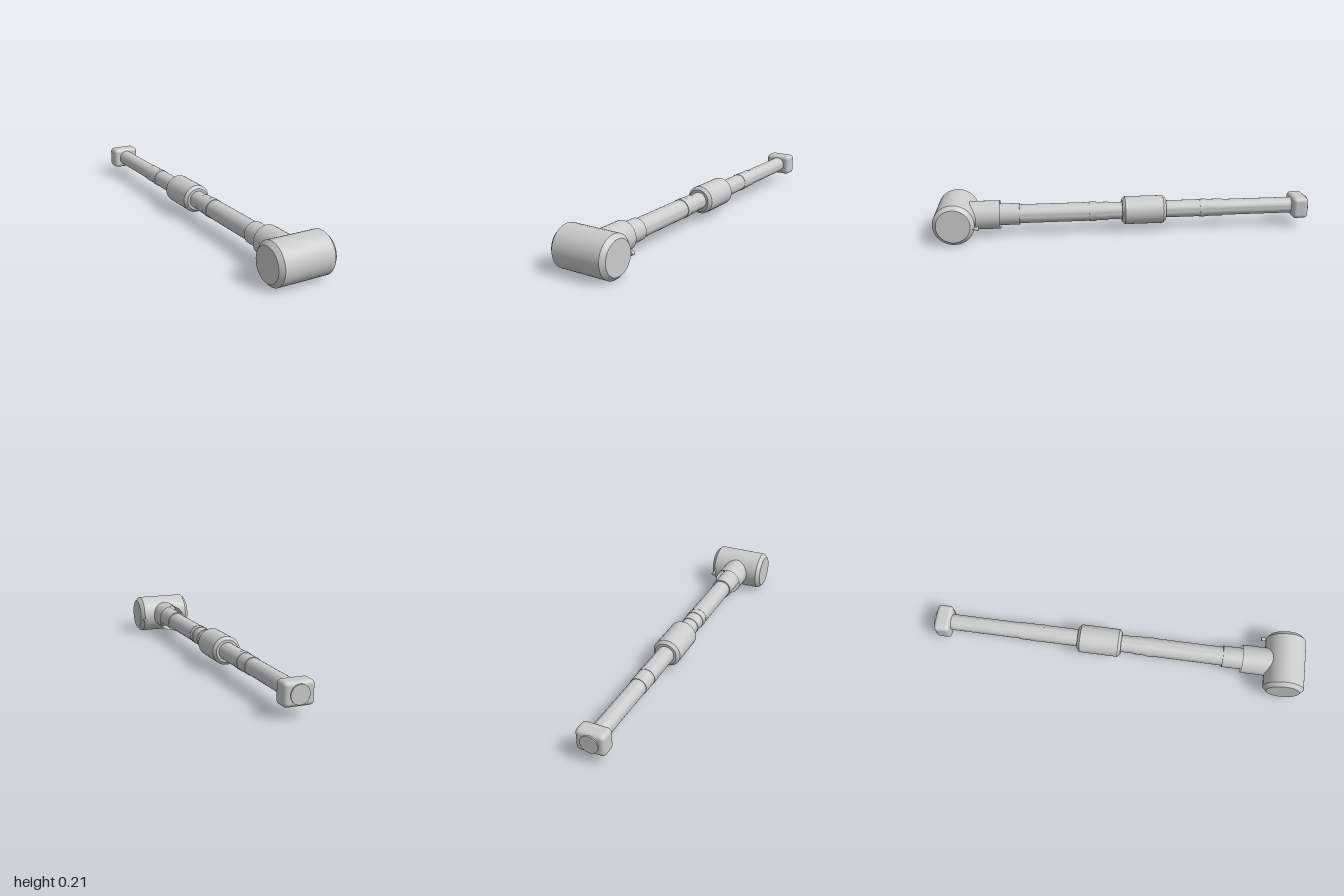
import * as THREE from 'three';
import { toCreasedNormals } from 'three/addons/utils/BufferGeometryUtils.js';
import { RoundedBoxGeometry } from 'three/addons/geometries/RoundedBoxGeometry.js';

const AXIS_Y = 0.11;

// Turned part from [radius, position] pairs, with crisp edges
function turned(profile, segments = 32) {
  const points = profile.map(([r, t]) => new THREE.Vector2(r, t));
  return toCreasedNormals(new THREE.LatheGeometry(points, segments), 0.5);
}

export function createModel() {
  const group = new THREE.Group();
  const grey = new THREE.MeshStandardMaterial({ color: 0xcccccc });
  const open = new THREE.MeshStandardMaterial({ color: 0xcccccc, side: THREE.DoubleSide });

  function add(name, geometry, x = 0, y = AXIS_Y, z = 0, material = grey) {
    const mesh = new THREE.Mesh(geometry, material);
    mesh.name = name;
    mesh.position.set(x, y, z);
    group.add(mesh);
  }
  const alongZ = (profile, segments) => turned(profile, segments).rotateX(Math.PI / 2);

  // Striking head: chamfered barrel lying along x
  const head = turned([[0, -0.155], [0.087, -0.155], [0.107, -0.134],
    [0.107, 0.134], [0.087, 0.155], [0, 0.155]], 40).rotateZ(-Math.PI / 2);
  add('head', head, 0, 0.107, 0.893);

  // Open socket that joins the handle to the head
  add('socket', alongZ([[0.075, 0.662], [0.075, 0.87]]), 0, AXIS_Y, 0, open);
  add('collar', alongZ([[0, 0.56], [0.057, 0.56], [0.057, 0.82], [0, 0.82]]));

  // Handle: front and rear shafts, each with a raised joint band
  add('frontShaft', alongZ([[0.046, -0.1], [0.046, 0.09], [0.049, 0.09],
    [0.049, 0.2], [0.05, 0.2], [0.05, 0.6]]));
  add('rearShaft', alongZ([[0, -0.98], [0.043, -0.98], [0.043, -0.53],
    [0.046, -0.53], [0.046, -0.1]]));
  for (const [name, z, r] of [['frontBand', 0.173, 0.052], ['rearBand', -0.425, 0.048]]) {
    add(name, alongZ([[0.04, -0.018], [r, -0.018], [r, 0.018], [0.04, 0.018]]), 0, AXIS_Y, z);
  }

  // Middle sleeve with chamfered ends
  add('sleeve', alongZ([[0.045, -0.219], [0.06, -0.219], [0.075, -0.204],
    [0.075, 0.001], [0.06, 0.016], [0.045, 0.016]]));

  // Pommel block and its round end cap
  add('pommel', new RoundedBoxGeometry(0.15, 0.115, 0.085, 4, 0.022), 0, AXIS_Y, -0.952);
  add('pommelCap', alongZ([[0, -1], [0.046, -1], [0.046, -0.96], [0, -0.96]]));

  // Small pin on the back of the head
  add('pin', alongZ([[0, 0.765], [0.01, 0.765], [0.01, 0.785], [0.006, 0.785],
    [0.006, 0.83], [0, 0.83]], 12), 0.136, 0.086, 0);

  return group;
}
